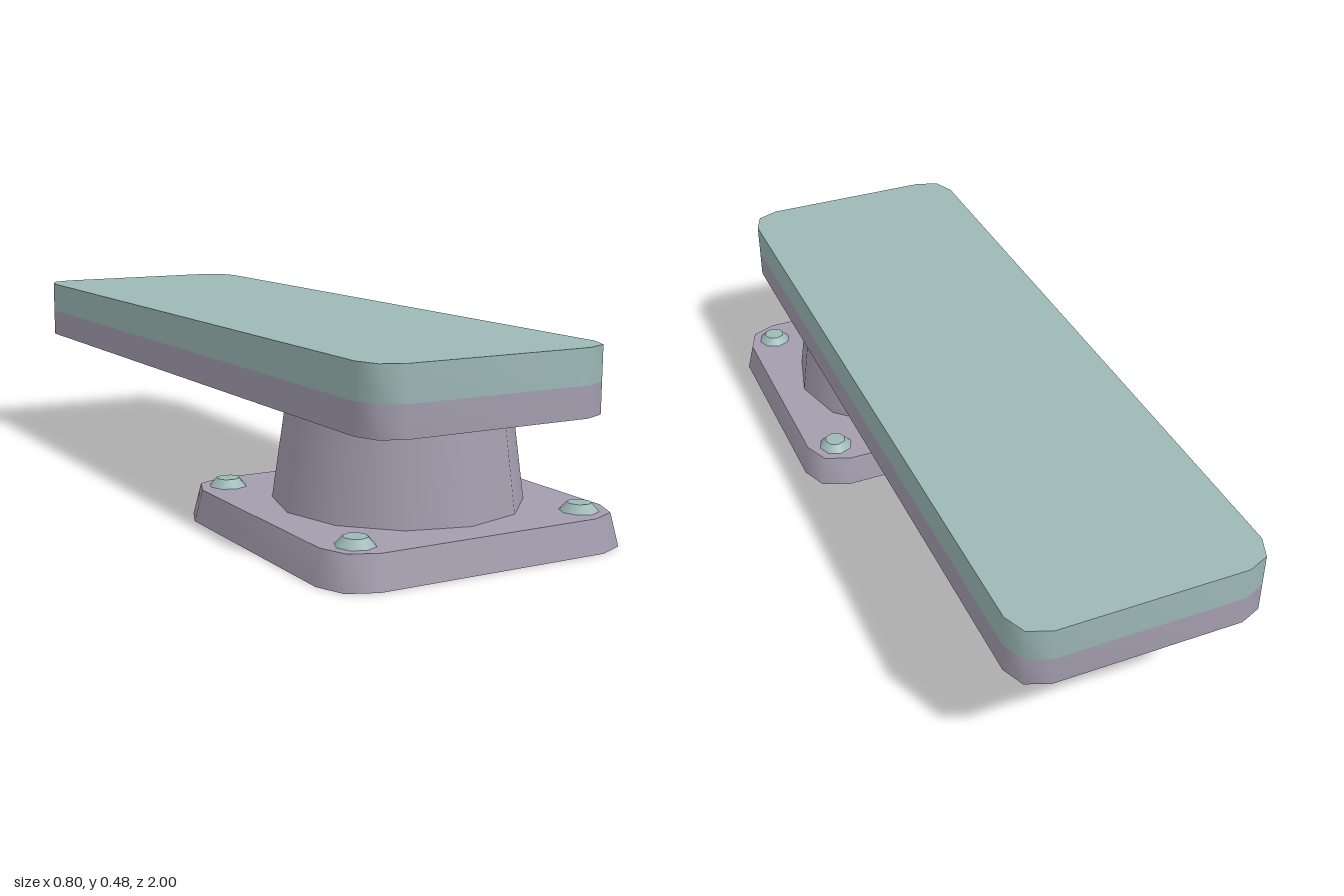
import * as THREE from 'three';
import { toCreasedNormals } from 'three/addons/utils/BufferGeometryUtils.js';

// Slab with rounded corners standing on y = 0; its top is scaled by taper.
function roundedSlab(width, depth, height, radius, taper = 1) {
  const x = width / 2 - radius, z = depth / 2 - radius, q = Math.PI / 2;
  const shape = new THREE.Shape();
  shape.absarc(x, z, radius, 0, q);
  shape.absarc(-x, z, radius, q, 2 * q);
  shape.absarc(-x, -z, radius, 2 * q, 3 * q);
  shape.absarc(x, -z, radius, 3 * q, 4 * q);
  shape.closePath();
  const geo = new THREE.ExtrudeGeometry(shape, { depth: height, bevelEnabled: false, curveSegments: 1 });
  geo.rotateX(-Math.PI / 2);
  const p = geo.attributes.position;
  for (let i = 0; i < p.count; i++) {
    if (p.getY(i) > height / 2) p.setXYZ(i, p.getX(i) * taper, height, p.getZ(i) * taper);
  }
  return toCreasedNormals(geo, Math.PI / 3);
}

export function createModel() {
  const model = new THREE.Group();
  model.name = 'divingBoard';
  const grey = new THREE.MeshStandardMaterial({ color: 0xa39dae });
  grey.name = 'mauveGrey';
  const teal = new THREE.MeshStandardMaterial({ color: 0x9cb8b5 });
  teal.name = 'paleTeal';

  const add = (name, geo, material, x, y, z) => {
    const mesh = new THREE.Mesh(geo, material);
    mesh.name = name;
    mesh.position.set(x, y, z);
    model.add(mesh);
  };

  const baseZ = 0.6;

  // Base plate and tapered pedestal
  add('basePlate', roundedSlab(0.8, 0.8, 0.08, 0.1, 0.96), grey, 0, 0, baseZ);
  add('pedestal', new THREE.CylinderGeometry(0.27, 0.303, 0.24, 12), grey, 0, 0.2, baseZ);

  // Bolts at the four corners of the base
  const boltGeo = new THREE.CylinderGeometry(0.029, 0.047, 0.02, 8);
  for (const sx of [-1, 1]) {
    for (const sz of [-1, 1]) {
      add('bolt', boltGeo, teal, sx * 0.305, 0.09, baseZ + sz * 0.305);
    }
  }

  // Board in two layers
  add('boardUnderside', roundedSlab(0.64, 2, 0.075, 0.08), grey, 0, 0.32, 0);
  add('boardTop', roundedSlab(0.64, 2, 0.085, 0.08), teal, 0, 0.395, 0);

  return model;
}
